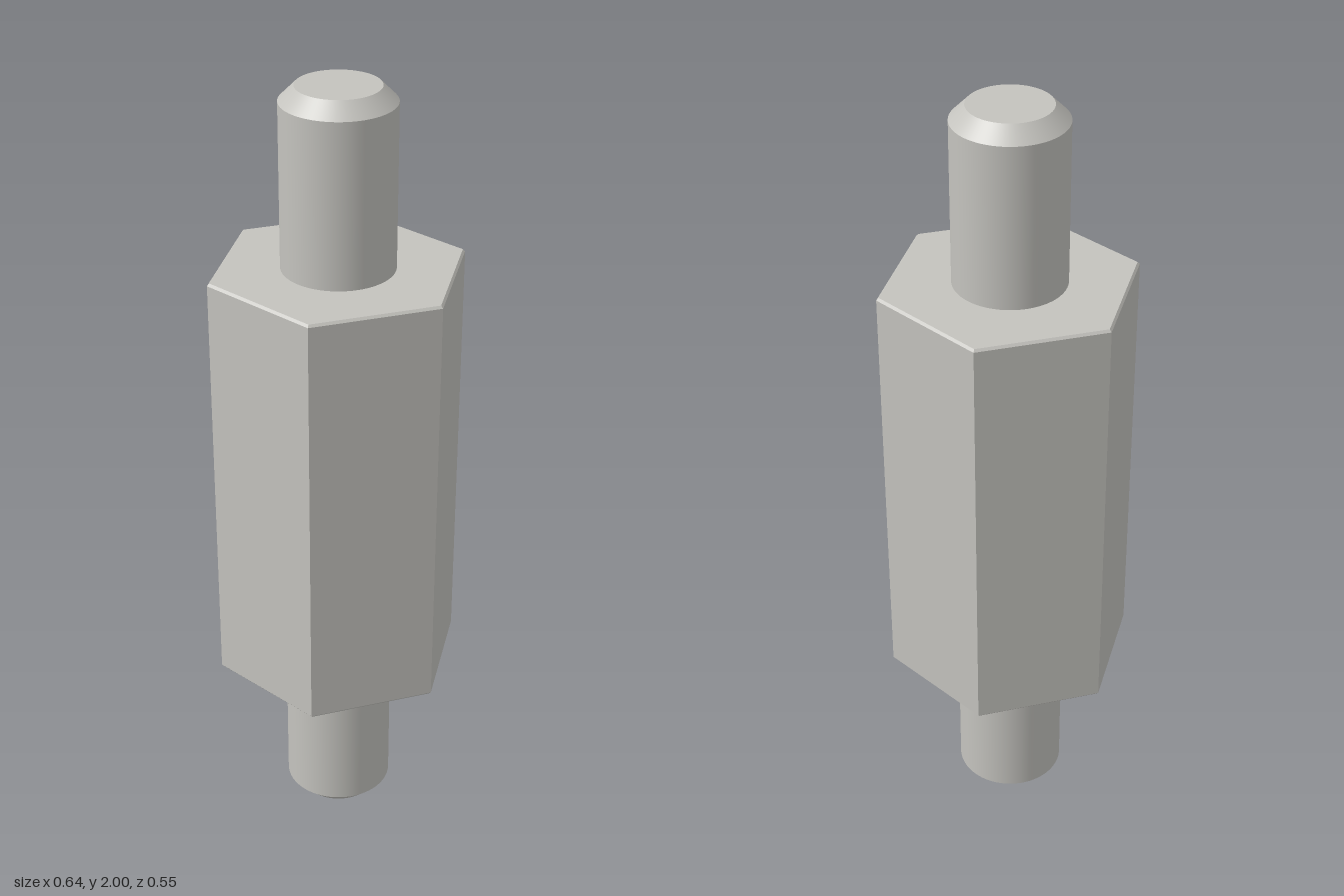
import * as THREE from 'three';

const HEX_R = 0.32, HEX_BOTTOM = 0.45, HEX_TOP = 1.555, HEX_BEVEL = 0.006;
const STUD_R = 0.138, TIP_R = 0.101, CHAMFER = 0.037, SEGMENTS = 64;

export function createModel() {
  const model = new THREE.Group();
  model.name = 'hexStandoff';
  const steel = new THREE.MeshStandardMaterial({ color: 0xc4c3be });
  steel.name = 'satin steel';
  const hexSteel = steel.clone();
  hexSteel.flatShading = true;

  const add = (parent, name, geometry, material) => {
    const mesh = new THREE.Mesh(geometry, material);
    mesh.name = name;
    parent.add(mesh);
  };

  // Open lathe wall between two profile points, kept separate for a crisp edge
  const wall = (r0, y0, r1, y1) => new THREE.LatheGeometry(
    [new THREE.Vector2(r0, y0), new THREE.Vector2(r1, y1)], SEGMENTS);

  // Hexagonal body with a fine bevel at both ends, corners on the x axis
  const hex = (rTop, rBottom, y0, y1, open) => new THREE.CylinderGeometry(
    rTop, rBottom, y1 - y0, 6, 1, open, Math.PI / 6).translate(0, (y0 + y1) / 2, 0);
  const hexCap = (y, up) => new THREE.CircleGeometry(HEX_R - HEX_BEVEL, 6)
    .rotateX(up ? -Math.PI / 2 : Math.PI / 2).translate(0, y, 0);
  const body = new THREE.Group();
  body.name = 'hexBody';
  model.add(body);
  const inner = HEX_R - HEX_BEVEL;
  add(body, 'hexSides', hex(HEX_R, HEX_R, HEX_BOTTOM + HEX_BEVEL, HEX_TOP - HEX_BEVEL, true), hexSteel);
  add(body, 'topBevel', hex(inner, HEX_R, HEX_TOP - HEX_BEVEL, HEX_TOP, true), hexSteel);
  add(body, 'bottomBevel', hex(HEX_R, inner, HEX_BOTTOM, HEX_BOTTOM + HEX_BEVEL, true), hexSteel);
  add(body, 'topFace', hexCap(HEX_TOP, true), hexSteel);
  add(body, 'bottomFace', hexCap(HEX_BOTTOM, false), hexSteel);

  // Round stud with a chamfered tip, built upwards from the body's end face
  const makeStud = (name, length) => {
    const stud = new THREE.Group();
    stud.name = name;
    add(stud, 'shank', wall(STUD_R, 0, STUD_R, length - CHAMFER), steel);
    add(stud, 'tipChamfer', wall(STUD_R, length - CHAMFER, TIP_R, length), steel);
    add(stud, 'tipFace', new THREE.CircleGeometry(TIP_R, SEGMENTS)
      .rotateX(-Math.PI / 2).translate(0, length, 0), steel);
    model.add(stud);
    return stud;
  };
  makeStud('topStud', 2 - HEX_TOP).position.y = HEX_TOP;
  const lower = makeStud('bottomStud', HEX_BOTTOM);
  lower.position.y = HEX_BOTTOM;
  lower.rotation.x = Math.PI;

  return model;
}
